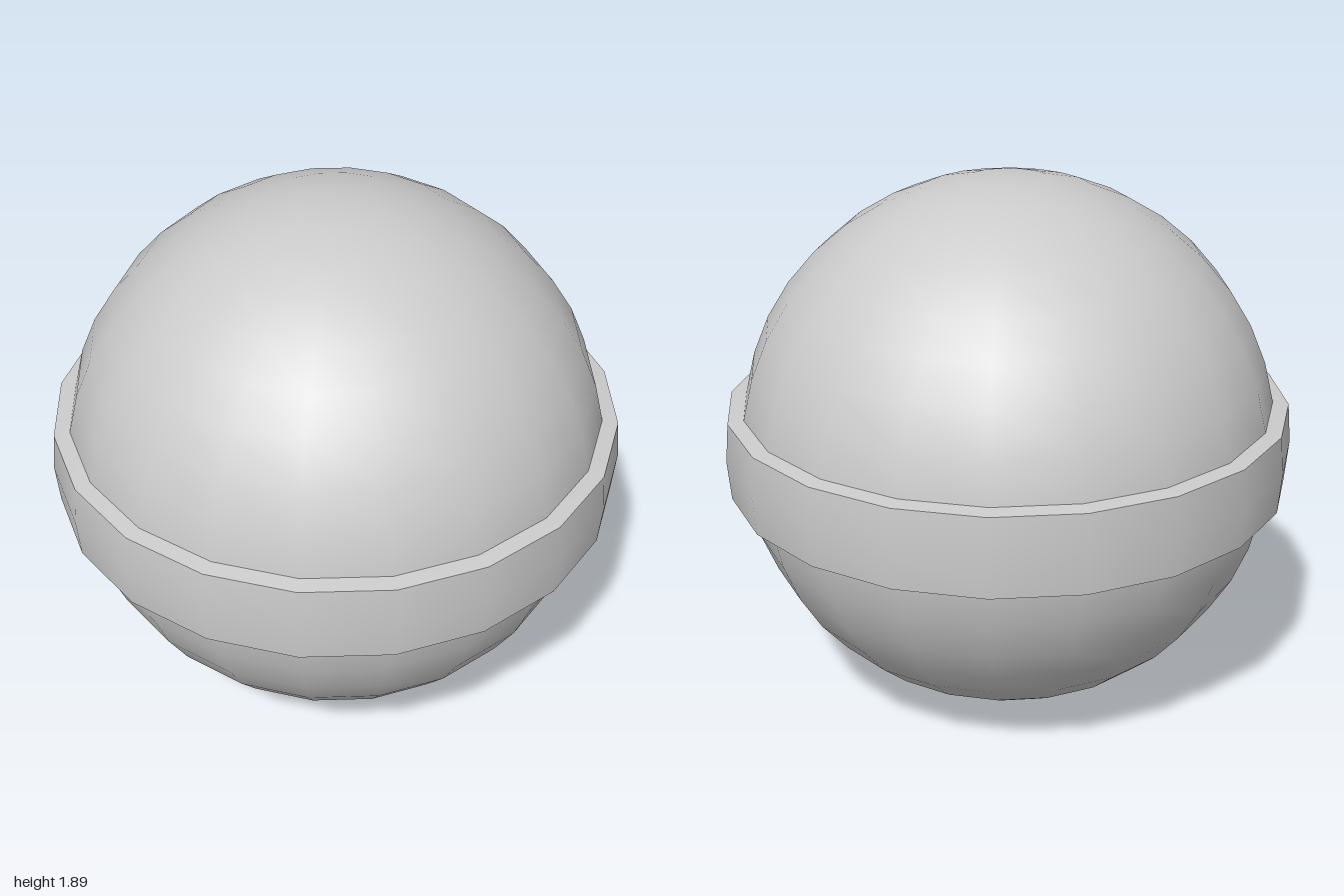
import * as THREE from 'three';
import { toCreasedNormals } from 'three/addons/utils/BufferGeometryUtils.js';

const RADIUS = 0.944;
const SEGMENTS = 20;

export function createModel() {
  const group = new THREE.Group();
  const material = new THREE.MeshStandardMaterial({ color: 0xcccccc });

  const add = (name, geometry) => {
    const mesh = new THREE.Mesh(geometry, material);
    mesh.name = name;
    mesh.position.y = RADIUS;
    group.add(mesh);
  };

  // Smooth ball
  add('ball', new THREE.SphereGeometry(RADIUS, SEGMENTS, SEGMENTS));

  // Raised belt over the two rows of faces beside the equator
  const step = Math.PI / SEGMENTS;
  const innerR = RADIUS * Math.cos(step);
  const innerY = RADIUS * Math.sin(step);
  const profile = [
    [innerR, -innerY], [0.988, -0.14], [1, 0], [0.988, 0.14], [innerR, innerY],
  ].map(([r, y]) => new THREE.Vector2(r, y));
  add('equatorBand', toCreasedNormals(new THREE.LatheGeometry(profile, SEGMENTS), 0.7));

  return group;
}
